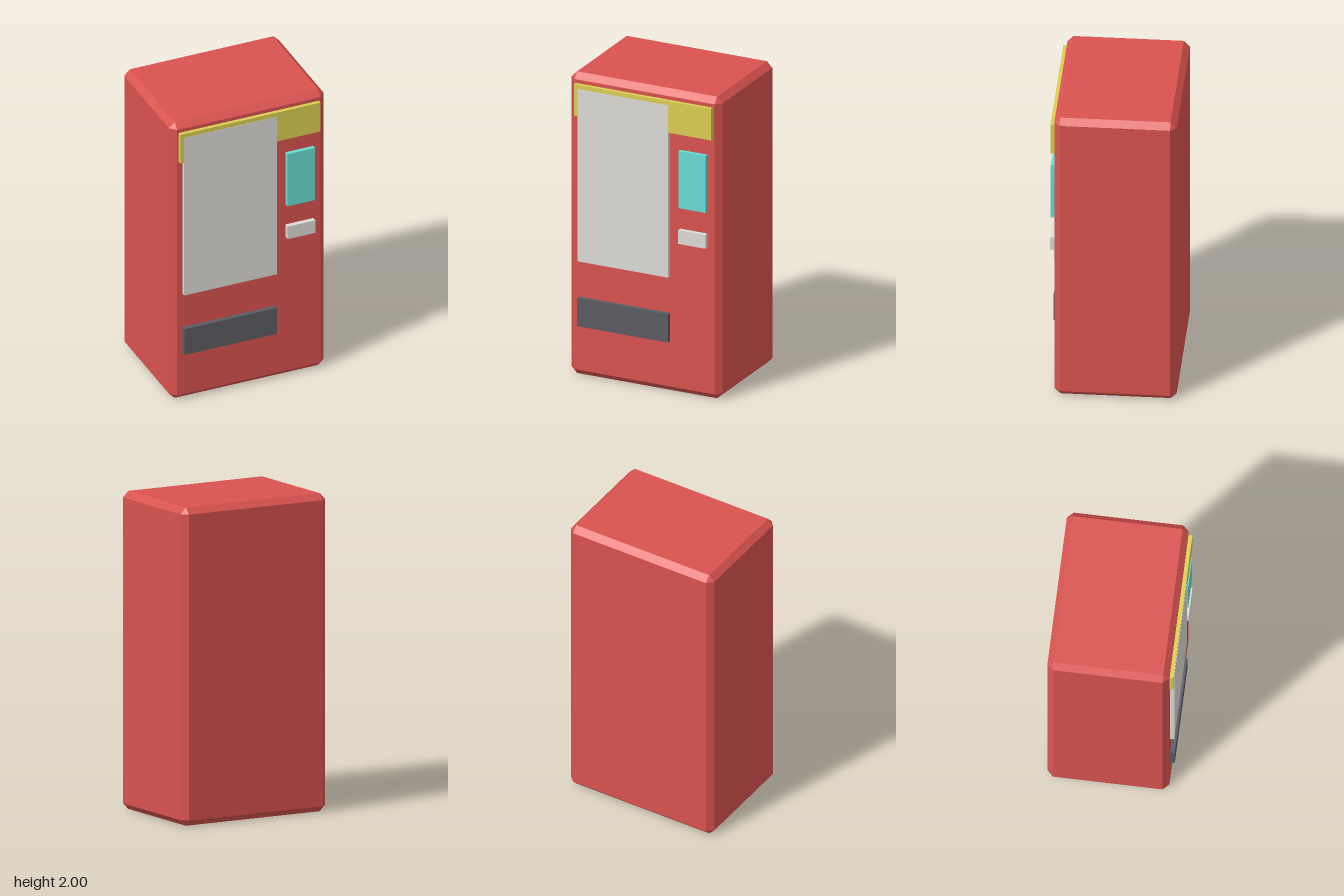
import * as THREE from 'three';
import { ConvexGeometry } from 'three/addons/geometries/ConvexGeometry.js';

const material = (name, color) => {
  const m = new THREE.MeshStandardMaterial({ color });
  m.name = name;
  return m;
};

// Box with every edge and corner cut at 45 degrees, centred on the origin
function chamferedBox(w, h, d, c) {
  const points = [];
  for (const sx of [-1, 1]) for (const sy of [-1, 1]) for (const sz of [-1, 1]) {
    const x = w / 2, y = h / 2, z = d / 2;
    points.push(
      new THREE.Vector3(sx * x, sy * (y - c), sz * (z - c)),
      new THREE.Vector3(sx * (x - c), sy * y, sz * (z - c)),
      new THREE.Vector3(sx * (x - c), sy * (y - c), sz * z)
    );
  }
  return new ConvexGeometry(points);
}

export function createModel() {
  const group = new THREE.Group();
  group.name = 'vendingMachine';

  const red = material('red', 0xd9534f);
  const yellow = material('yellow', 0xdccf54);
  const grey = material('light grey', 0xdedcd7);
  const teal = material('teal', 0x69ded4);
  const dark = material('dark grey', 0x5b5c62);

  // Cabinet
  const backZ = -0.395, frontZ = 0.365;
  const cabinet = new THREE.Mesh(chamferedBox(1.046, 2, frontZ - backZ, 0.038), red);
  cabinet.name = 'cabinet';
  cabinet.position.set(0, 1, (backZ + frontZ) / 2);
  group.add(cabinet);

  // Front panels: name, material, x range, y range, front face z
  const panels = [
    ['signBand', yellow, -0.475, 0.475, 1.729, 1.938, 0.39],
    ['displayWindow', grey, -0.45, 0.178, 0.768, 1.91, 0.3915],
    ['keypad', teal, 0.249, 0.437, 1.242, 1.62, 0.3915],
    ['coinSlot', grey, 0.249, 0.437, 1.006, 1.097, 0.395],
    ['dispenserFlap', dark, -0.45, 0.178, 0.339, 0.526, 0.395],
  ];
  for (const [name, mat, x0, x1, y0, y1, z] of panels) {
    const inner = frontZ - 0.01;
    const mesh = new THREE.Mesh(new THREE.BoxGeometry(x1 - x0, y1 - y0, z - inner), mat);
    mesh.name = name;
    mesh.position.set((x0 + x1) / 2, (y0 + y1) / 2, (z + inner) / 2);
    group.add(mesh);
  }

  return group;
}
